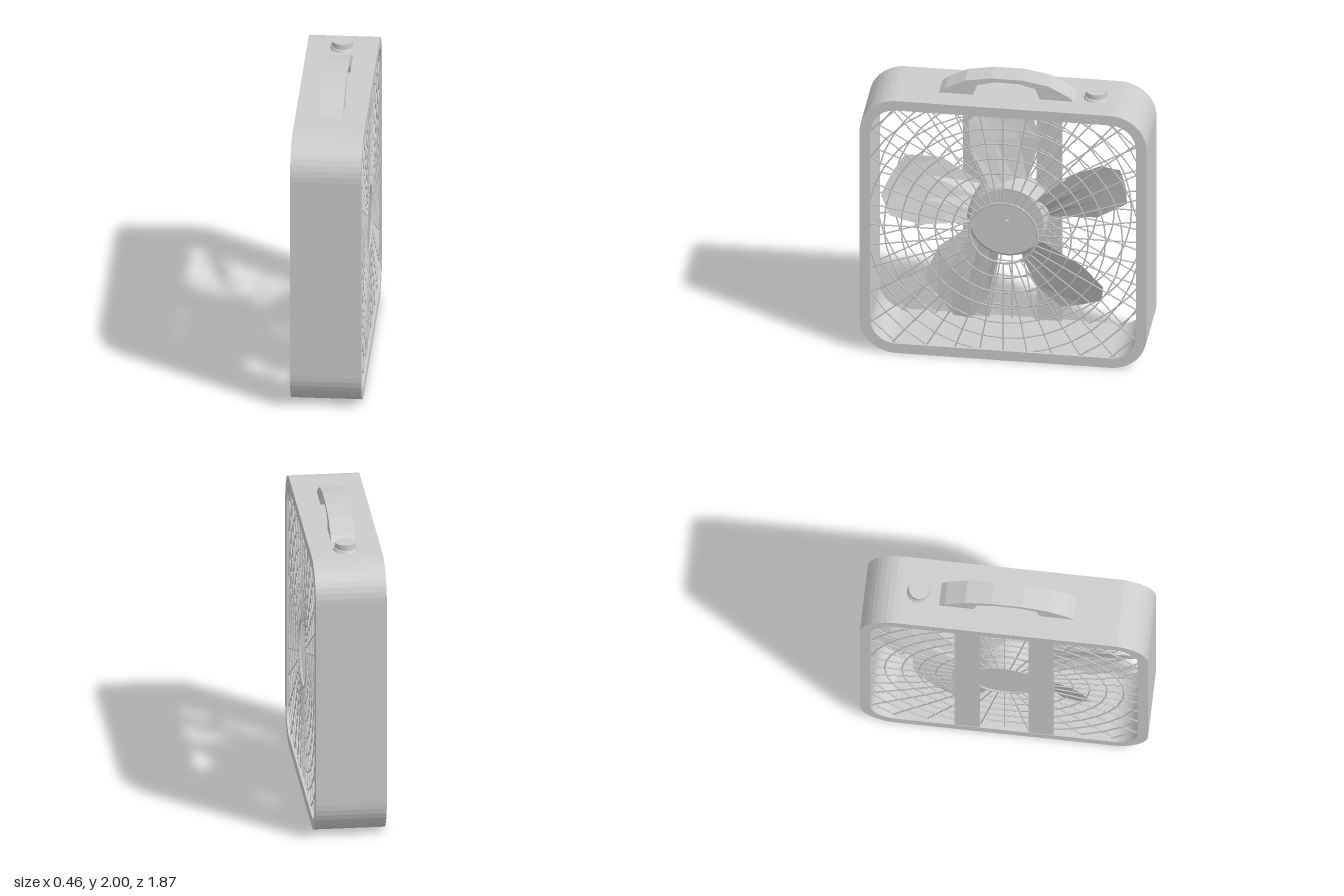
import * as THREE from 'three';
import { mergeGeometries } from 'three/addons/utils/BufferGeometryUtils.js';

// Built facing local +z, centred on the hub; the whole fan is then turned to face +x.
const CY = 0.935, HALF = 0.935, DEPTH = 0.46, INNER = 0.865, INNER_R = 0.17;
const grey = new THREE.MeshStandardMaterial({ color: 0xcccccc });
const flatGrey = new THREE.MeshStandardMaterial({ color: 0xcccccc, flatShading: true, side: THREE.DoubleSide });
const rad = THREE.MathUtils.degToRad;

function add(parent, name, geometry, material = grey, x = 0, y = 0, z = 0) {
  const mesh = new THREE.Mesh(geometry, material);
  mesh.name = name;
  mesh.position.set(x, y, z);
  parent.add(mesh);
  return mesh;
}

// Rounded square outline
function roundedSquare(target, h, r) {
  const c = h - r;
  target.moveTo(h, -c);
  target.lineTo(h, c);
  target.absarc(c, c, r, 0, Math.PI / 2);
  target.absarc(-c, c, r, Math.PI / 2, Math.PI);
  target.absarc(-c, -c, r, Math.PI, Math.PI * 1.5);
  target.absarc(c, -c, r, Math.PI * 1.5, Math.PI * 2);
  return target;
}

// Disc or drum along local z, between two depths
function drum(rFront, rBack, z0, z1, sides = 32) {
  return new THREE.CylinderGeometry(rFront, rBack, z1 - z0, sides)
    .rotateX(Math.PI / 2).translate(0, 0, (z0 + z1) / 2);
}

function insideFrame(p) {
  const c = INNER - INNER_R;
  const dx = Math.max(Math.abs(p.x) - c, 0), dy = Math.max(Math.abs(p.y) - c, 0);
  return Math.hypot(dx, dy) <= INNER_R;
}

// Last point inside the frame on the way from a (inside) to b (outside)
function clip(a, b) {
  let lo = 0, hi = 1;
  for (let i = 0; i < 20; i++) {
    const m = (lo + hi) / 2;
    if (insideFrame(a.clone().lerp(b, m))) lo = m; else hi = m;
  }
  return a.clone().lerp(b, lo);
}

function wire(a, b, r) {
  const dir = b.clone().sub(a);
  const g = new THREE.CylinderGeometry(r, r, dir.length(), 5, 1, true);
  g.applyQuaternion(new THREE.Quaternion().setFromUnitVectors(new THREE.Vector3(0, 1, 0), dir.normalize()));
  return g.translate((a.x + b.x) / 2, (a.y + b.y) / 2, (a.z + b.z) / 2);
}

// Wire guard: 36 spokes and evenly spaced rings, trimmed to the frame opening
function guardGeometry() {
  const parts = [], step = 0.111, n = 36;
  const polar = (r, i) => new THREE.Vector3(
    r * Math.cos(i * 2 * Math.PI / n), r * Math.sin(i * 2 * Math.PI / n), 0);
  for (let i = 0; i < n; i++) {
    const start = polar(2 * step, i);
    parts.push(wire(start, clip(start, polar(1.4, i)), 0.005));
    for (let k = 2; k <= 10; k++) {
      let a = polar(k * step, i), b = polar(k * step, i + 1);
      const inA = insideFrame(a), inB = insideFrame(b);
      if (!inA && !inB) continue;
      if (!inB) b = clip(a, b);
      else if (!inA) a = clip(b, a);
      if (a.distanceTo(b) > 0.002) parts.push(wire(a, b, k === 2 ? 0.008 : 0.005));
    }
  }
  return mergeGeometries(parts);
}

// Pitched, cambered blade around +x from rows of [angle, radius, depth]
function bladeGeometry() {
  const rows = [
    [[-27, 0.24, -0.09], [-10, 0.25, -0.03], [7, 0.25, 0.03], [24, 0.24, 0.08]],
    [[-20, 0.57, -0.09], [-6, 0.57, -0.045], [9, 0.57, 0.02], [24, 0.57, 0.09]],
    [[-10, 0.77, -0.07], [0.5, 0.80, -0.035], [11, 0.835, 0.02], [19, 0.765, 0.08]],
  ];
  const pos = [], index = [];
  rows.flat().forEach(([a, r, z]) => pos.push(r * Math.cos(rad(a)), r * Math.sin(rad(a)), z - 0.02));
  for (let i = 0; i < 2; i++) for (let j = 0; j < 3; j++) {
    const a = i * 4 + j, b = a + 4;
    index.push(a, b, b + 1, a, b + 1, a + 1);
  }
  const g = new THREE.BufferGeometry();
  g.setAttribute('position', new THREE.Float32BufferAttribute(pos, 3));
  g.setIndex(index);
  g.computeVertexNormals();
  return g;
}

export function createModel() {
  const model = new THREE.Group();
  model.name = 'boxFan';
  const fan = new THREE.Group();
  fan.name = 'fanBody';
  fan.position.y = CY;
  fan.rotation.y = Math.PI / 2;
  model.add(fan);

  // Housing
  const shape = roundedSquare(new THREE.Shape(), HALF, 0.24);
  shape.holes.push(roundedSquare(new THREE.Path(), INNER, INNER_R));
  add(fan, 'housing', new THREE.ExtrudeGeometry(shape,
    { depth: DEPTH, bevelEnabled: false, curveSegments: 5 }).translate(0, 0, -DEPTH / 2), grey);

  // Front and back guards
  const guard = guardGeometry();
  add(fan, 'frontGuard', guard, grey, 0, 0, 0.213);
  add(fan, 'backGuard', guard, grey, 0, 0, -0.203);

  // Motor, its two support straps, and the shaft
  for (const s of [-1, 1]) {
    add(fan, 'motorStrap', new THREE.BoxGeometry(0.165, 2 * INNER + 0.01, 0.02), grey, s * 0.24, 0, -0.217);
  }
  add(fan, 'motor', drum(0.225, 0.225, -0.2, -0.12));
  add(fan, 'shaft', drum(0.015, 0.015, 0.05, 0.08, 12));

  // Hub and five blades
  const rotor = new THREE.Group();
  rotor.name = 'rotor';
  fan.add(rotor);
  add(rotor, 'hub', drum(0.262, 0.262, -0.13, 0.04));
  add(rotor, 'hubCap', drum(0.24, 0.262, 0.04, 0.06));
  const blade = bladeGeometry();
  for (let i = 0; i < 5; i++) {
    add(rotor, 'blade', blade, flatGrey).rotation.z = rad(18 + 72 * i);
  }

  // Arched carrying handle
  const half = [[0.45, 0.925], [0.4, 0.968], [0.27, 1.035], [0.1, 1.065]];
  const under = [[0.08, 1.037], [0.19, 1.008], [0.22, 0.925]];
  const mirror = (pts) => pts.map(([x, y]) => [-x, y]).reverse();
  const outline = [...half, ...mirror(half), ...mirror(under), ...under]
    .map(([x, y]) => new THREE.Vector2(x, y));
  // Inner edge runs back from the left foot to the right foot
  add(fan, 'handle', new THREE.ExtrudeGeometry(new THREE.Shape(outline),
    { depth: 0.155, bevelEnabled: false }).translate(0, 0, -0.0775), grey);

  // Speed knob
  const knob = new THREE.Group();
  knob.name = 'speedKnob';
  knob.position.set(0.575, HALF, 0);
  fan.add(knob);
  add(knob, 'knobBase', new THREE.CylinderGeometry(0.072, 0.08, 0.014, 24), grey, 0, 0.006, 0);
  add(knob, 'knobNeck', new THREE.CylinderGeometry(0.058, 0.058, 0.02, 24), grey, 0, 0.015, 0);
  add(knob, 'knobGrip', new THREE.CylinderGeometry(0.068, 0.07, 0.034, 24), grey, 0, 0.036, 0);

  return model;
}
